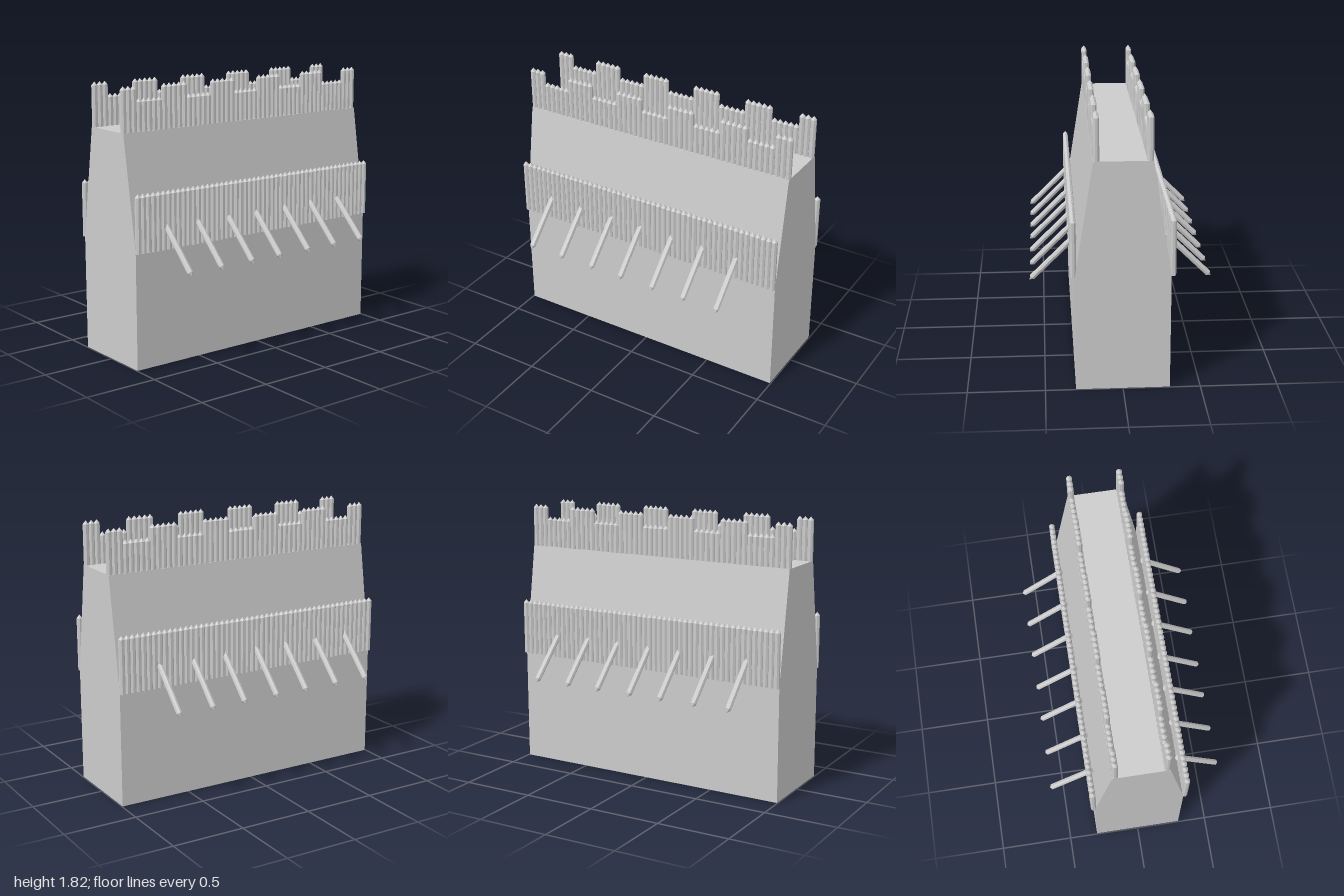
import * as THREE from 'three';

const material = new THREE.MeshStandardMaterial({ color: 0xcccccc, flatShading: true, side: THREE.DoubleSide });
const COUNT = 51;
const PITCH = 2 / COUNT;
const RADIUS = 0.02;

// Round post standing on its origin, with a short pointed tip
function postGeometry(height) {
  const profile = [[0, 0], [RADIUS, 0], [RADIUS, height - 0.024], [0, height]];
  return new THREE.LatheGeometry(profile.map(([x, y]) => new THREE.Vector2(x, y)), 8);
}

// Full-length row of posts; heightAt gives each post's height
function palisade(name, y, z, heightAt) {
  const row = new THREE.Group();
  row.name = name;
  const cache = {};
  for (let i = 0; i < COUNT; i++) {
    const h = heightAt(i);
    cache[h] ??= postGeometry(h);
    const post = new THREE.Mesh(cache[h], material);
    post.name = 'post';
    post.position.set(-1 + PITCH * (i + 0.5), y, z);
    post.rotation.y = Math.PI / 8 + 0.06 * Math.sin(i * 2.3);
    row.add(post);
  }
  return row;
}

// Rampart body: hollow, open underneath, sloped above the lower fence
function rampart() {
  const group = new THREE.Group();
  group.name = 'rampart';
  const half = 0.995;
  const profile = [[0.303, 0], [0.303, 0.78], [0.185, 1.53], [-0.185, 1.53], [-0.303, 0.78], [-0.303, 0]];
  const positions = [];
  for (let i = 0; i < profile.length - 1; i++) {
    const [z0, y0] = profile[i];
    const [z1, y1] = profile[i + 1];
    positions.push(-half, y0, z0, half, y0, z0, half, y1, z1);
    positions.push(-half, y0, z0, half, y1, z1, -half, y1, z1);
  }
  const shell = new THREE.BufferGeometry();
  shell.setAttribute('position', new THREE.Float32BufferAttribute(positions, 3));
  shell.computeVertexNormals();
  const walls = new THREE.Mesh(shell, material);
  walls.name = 'rampartWalls';
  group.add(walls);

  const endShape = new THREE.Shape(profile.map(([z, y]) => new THREE.Vector2(z, y)));
  for (const side of [-1, 1]) {
    const end = new THREE.Mesh(new THREE.ShapeGeometry(endShape), material);
    end.name = side > 0 ? 'leftEnd' : 'rightEnd';
    end.rotation.y = side * Math.PI / 2;
    end.position.x = side * half;
    group.add(end);
  }
  return group;
}

export function createModel() {
  const model = new THREE.Group();
  model.name = 'palisadeRampart';
  model.add(rampart());

  // Battlement: alternating tall and short blocks of five posts
  const battlement = (i) => (Math.floor((i + 2) / 5) % 2 === 0 ? 0.295 : 0.212);
  const stakeXs = [-0.765, -0.515, -0.265, -0.03, 0.22, 0.46, 0.71];
  const stakeGeometry = postGeometry(0.417);

  for (const side of [1, -1]) {
    const label = side > 0 ? 'front' : 'back';
    model.add(palisade(label + 'Battlement', 1.53, side * 0.166, battlement));
    model.add(palisade(label + 'LowerFence', 0.775, side * 0.313, () => 0.388));

    // Sharpened stakes slanting down and outwards
    const stakes = new THREE.Group();
    stakes.name = label + 'Stakes';
    for (const x of stakeXs) {
      const stake = new THREE.Mesh(stakeGeometry, material);
      stake.name = 'stake';
      stake.position.set(x, 0.948, side * 0.293);
      stake.rotation.x = side * Math.PI * 0.75;
      stakes.add(stake);
    }
    model.add(stakes);
  }
  return model;
}
